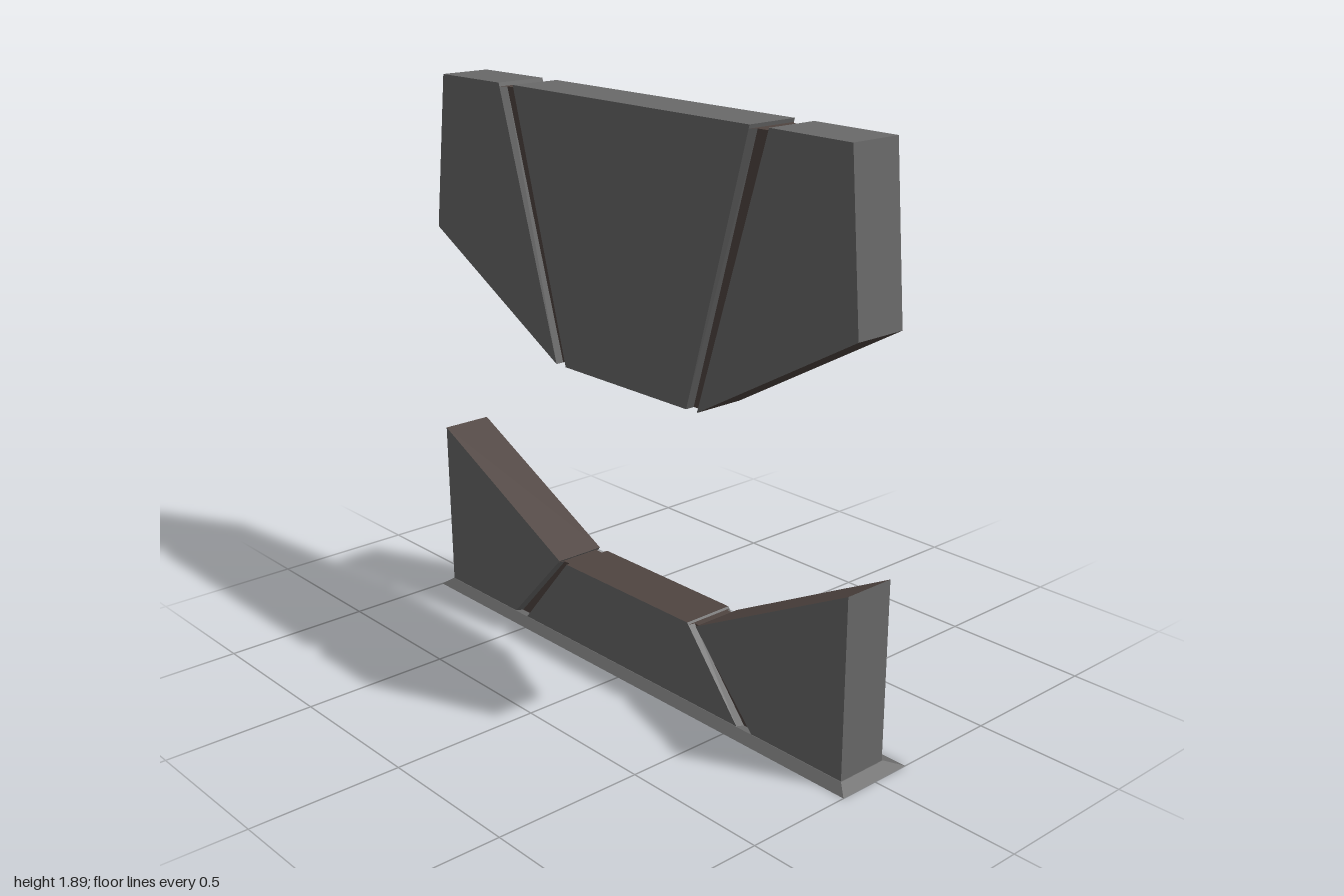
import * as THREE from 'three';

const FRONT = 0.105, BACK = -0.075, FRONT_DEPTH = 0.022, BACK_DEPTH = 0.014;
const outer = new THREE.MeshStandardMaterial({ color: 0x696969, flatShading: true });
const core = new THREE.MeshStandardMaterial({ color: 0x504541, flatShading: true });

function addMesh(group, name, geometry) {
  const mesh = new THREE.Mesh(geometry, [outer, core]);
  mesh.name = name;
  group.add(mesh);
}

// Closed solid between two matching rings, counterclockwise seen from the end ring.
// coreSides lists the sides in the inner material, coreCaps puts both ends in it.
function loft(start, end, coreSides = [], coreCaps = false) {
  const n = start.length, pos = [];
  const geometry = new THREE.BufferGeometry();
  const quad = (a, b, c, d, isCore) => {
    geometry.addGroup(pos.length / 3, 6, isCore ? 1 : 0);
    pos.push(...a, ...b, ...c, ...a, ...c, ...d);
  };
  for (let i = 0; i < n; i++) {
    const j = (i + 1) % n;
    quad(start[i], start[j], end[j], end[i], coreSides.includes(i));
  }
  for (let i = 0; i < n / 2 - 1; i++) {
    const j = n - 1 - i;
    quad(end[i], end[i + 1], end[j - 1], end[j], coreCaps);
    quad(start[j], start[j - 1], start[i + 1], start[i], coreCaps);
  }
  geometry.setAttribute('position', new THREE.Float32BufferAttribute(pos, 3));
  geometry.computeVertexNormals();
  return geometry;
}

// Flat slab from a four-cornered outline starting at its bottom edge
function slab(outline, brokenEdge) {
  const ring = (z) => outline.map(([x, y]) => [x, y, z]);
  return loft(ring(BACK), ring(FRONT), [brokenEdge]);
}

// Cross-section of a strip sunk into both the front and the back
function grooveRing(x0, x1, y) {
  const f = FRONT - FRONT_DEPTH, b = BACK + BACK_DEPTH;
  return [[0, FRONT], [0.18, f], [0.82, f], [1, FRONT], [1, BACK], [0.82, b], [0.18, b], [0, BACK]]
    .map(([t, z]) => [x0 + (x1 - x0) * t, y, z]);
}

// Block of a centre panel and two wings, split by slanted grooves.
// low and high: [groove inner x, groove outer x, y]; wings: lower and upper outer corners;
// brokenEdge: 0 for the bottom, 2 for the top
function block(name, low, high, wings, notchLow, notchHigh, brokenEdge) {
  const group = new THREE.Group();
  group.name = name;
  addMesh(group, 'centrePanel', slab([
    [-low[0], low[2]], [low[0], low[2]], [high[0], high[2]], [-high[0], high[2]]], brokenEdge));

  // groove ends stop a little short of the panel edges
  const ringAt = (y, s) => {
    const t = (y - low[2]) / (high[2] - low[2]);
    const [a, b] = [0, 1].map((i) => s * (low[i] + (high[i] - low[i]) * t));
    return grooveRing(Math.min(a, b), Math.max(a, b), y);
  };
  for (const s of [1, -1]) {
    const side = s > 0 ? 'left' : 'right';
    addMesh(group, side + 'Groove', loft(
      ringAt(low[2] + notchLow, s), ringAt(high[2] - notchHigh, s), [1, 5], true));
    const inLow = [s * low[1], low[2]], inHigh = [s * high[1], high[2]];
    const [outLow, outHigh] = wings[side];
    addMesh(group, side + 'Wing', slab(s > 0
      ? [inLow, outLow, outHigh, inHigh]
      : [outLow, inLow, inHigh, outHigh], brokenEdge));
  }
  return group;
}

export function createModel() {
  const model = new THREE.Group();
  model.name = 'splitBarrier';

  // Upper block, floating above the lower one, broken along its underside
  model.add(block('upperBlock', [0.288, 0.335, 1.0], [0.535, 0.61, 1.887], {
    left: [[0.96, 1.355], [0.915, 1.885]],
    right: [[-0.98, 1.355], [-0.918, 1.885]],
  }, 0.005, 0.012, 0));

  // Lower block with raised wings, broken along its top
  model.add(block('lowerBlock', [0.53, 0.595, 0.02], [0.3, 0.338, 0.297], {
    left: [[0.96, 0.02], [0.96, 0.613]],
    right: [[-0.967, 0.02], [-0.98, 0.613]],
  }, 0, 0.006, 2));

  // Bevelled base plate
  const plate = (x0, x1, z0, z1, y) => [[x0, y, z1], [x1, y, z1], [x1, y, z0], [x0, y, z0]];
  addMesh(model, 'basePlate', loft(
    plate(-1, 1, -0.137, 0.137, 0), plate(-0.968, 0.962, BACK - 0.003, FRONT + 0.002, 0.025)));
  return model;
}
